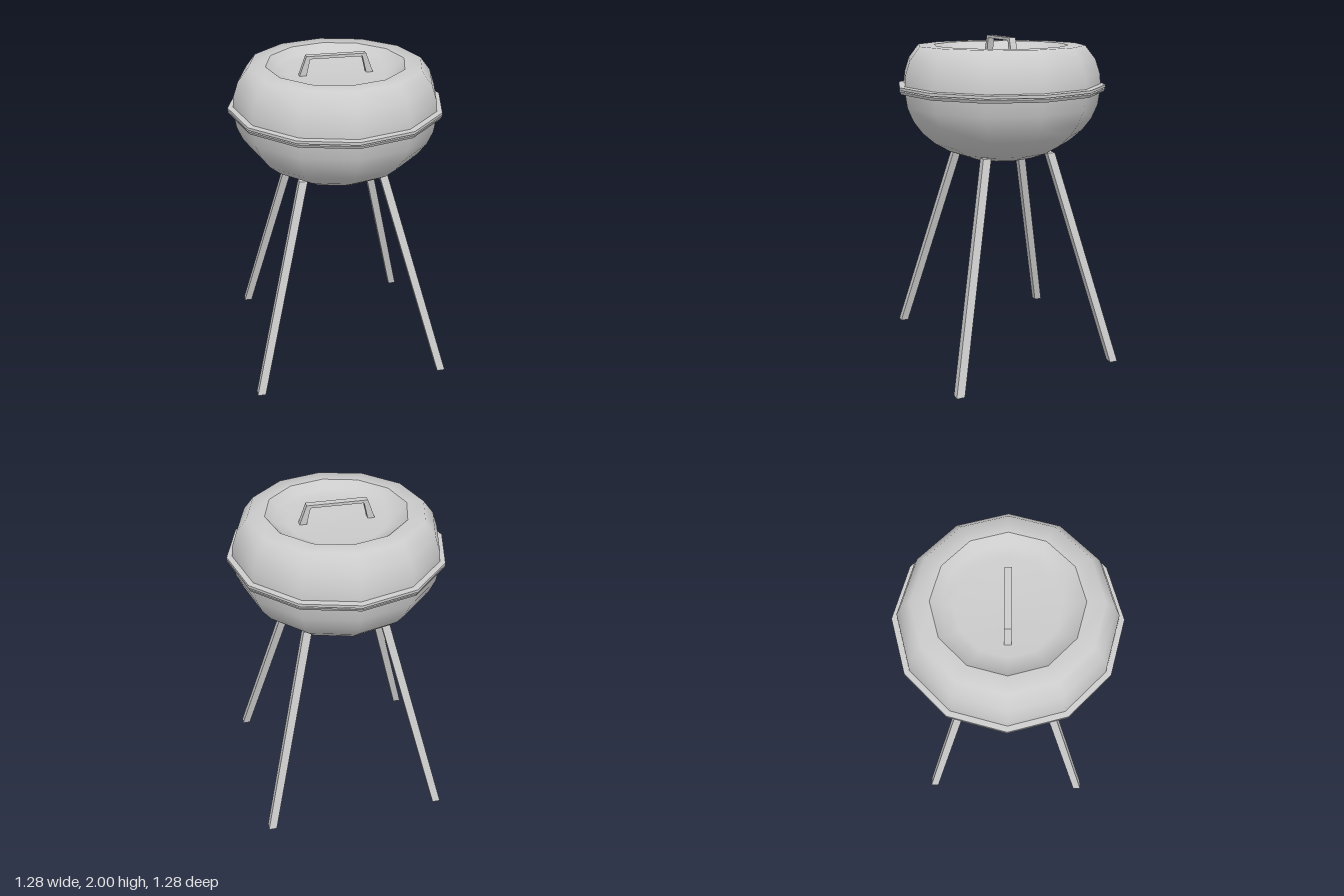
import * as THREE from 'three';
import { mergeGeometries } from 'three/addons/utils/BufferGeometryUtils.js';

const SIDES = 12;

export function createModel() {
  const group = new THREE.Group();
  const material = new THREE.MeshStandardMaterial({ color: 0xcccccc, side: THREE.DoubleSide });

  const add = (name, geometry) => {
    const mesh = new THREE.Mesh(geometry, material);
    mesh.name = name;
    group.add(mesh);
    return mesh;
  };
  const lathe = (points) =>
    new THREE.LatheGeometry(points.map(([r, y]) => new THREE.Vector2(r, y)), SIDES);
  // One lathe per profile segment keeps the edges between bands sharp
  const sharpLathe = (points) =>
    mergeGeometries(points.slice(1).map((p, i) => lathe([points[i], p])));

  // Bowl: lower half of a flattened sphere
  const bowl = [];
  for (let i = 0; i <= 8; i++) {
    const a = (i / 8) * Math.PI / 2;
    bowl.push([0.607 * Math.sin(a), 1.68 - 0.437 * Math.cos(a)]);
  }
  add('bowl', lathe(bowl));

  // Two stacked lips where bowl and lid meet
  add('bowlRim', sharpLathe([[0.605, 1.675], [0.63, 1.677], [0.64, 1.695], [0.625, 1.699]]));
  add('lidRim', sharpLathe([[0.625, 1.699], [0.64, 1.702], [0.64, 1.718], [0.605, 1.722]]));

  // Lid: rounded shoulder, then a sunken dish with a crisp edge
  add('lid', lathe([[0.608, 1.715], [0.604, 1.78], [0.573, 1.87], [0.51, 1.95], [0.41, 1.95]]));
  add('lidDish', lathe([[0.41, 1.95], [0.36, 1.91], [0.29, 1.888], [0, 1.882]]));

  // Handle: flat bar on two splayed feet
  const half = [[0.22, 1.88], [0.175, 2.0]];
  const inner = [[0.153, 1.983], [0.178, 1.88]];
  const mirror = (pts) => pts.map(([x, y]) => [-x, y]).reverse();
  const outline = [...half, ...mirror(half), ...mirror(inner), ...inner];
  // Inner points run from the left foot up, across and down the right foot
  const shape = new THREE.Shape(outline.map(([x, y]) => new THREE.Vector2(x, y)));
  const handle = new THREE.ExtrudeGeometry(shape, { depth: 0.04, bevelEnabled: false });
  handle.translate(0, 0, -0.02);
  add('handle', handle);

  // Legs: square bars sheared from foot to bowl: [name, foot x, foot z, top x, top z]
  const legs = [
    ['frontLeftLeg', 0.593, 0.508, 0.245, 0.198],
    ['frontRightLeg', -0.583, 0.508, -0.24, 0.198],
    ['backLeftLeg', 0.545, -0.535, 0.228, -0.228],
    ['backRightLeg', -0.563, -0.535, -0.238, -0.228],
  ];
  for (const [name, fx, fz, tx, tz] of legs) {
    const leg = new THREE.BoxGeometry(0.05, 1.31, 0.05);
    const p = leg.attributes.position;
    for (let i = 0; i < p.count; i++) {
      const top = p.getY(i) > 0;
      p.setXYZ(i, p.getX(i) + (top ? tx : fx), top ? 1.31 : 0, p.getZ(i) + (top ? tz : fz));
    }
    leg.computeVertexNormals();
    add(name, leg);
  }

  return group;
}
